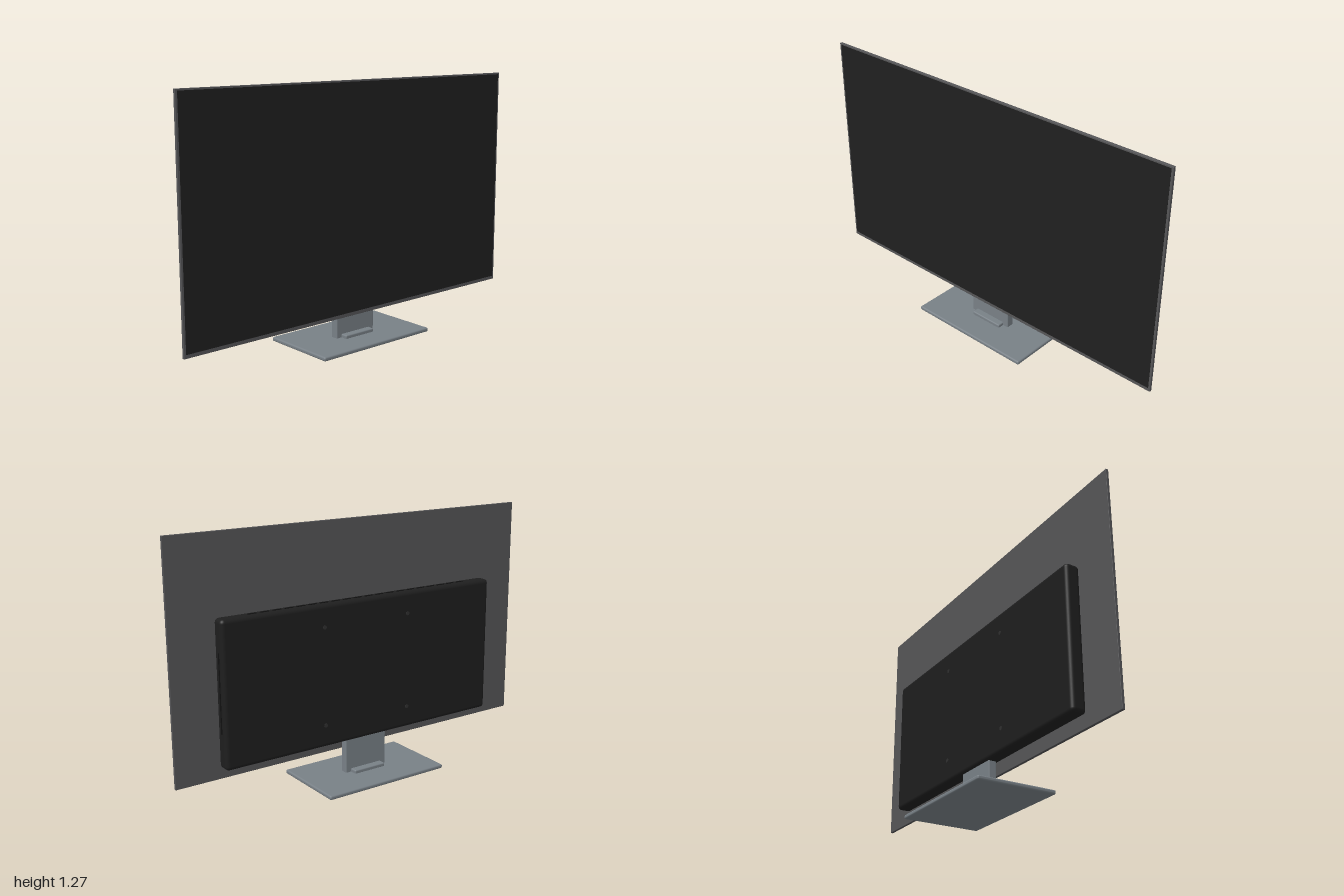
import * as THREE from 'three';
import { RoundedBoxGeometry } from 'three/addons/geometries/RoundedBoxGeometry.js';

const material = (name, color) => {
  const m = new THREE.MeshStandardMaterial({ color });
  m.name = name;
  return m;
};

export function createModel() {
  const frameGrey = material('frame grey', 0x555557);
  const screenBlack = material('screen black', 0x1f1f1f);
  const housingBlack = material('housing black', 0x1e1e1e);
  const ventBlack = material('vent black', 0x111111);
  const screwGrey = material('screw grey', 0x303030);
  const standGrey = material('stand grey', 0x788086);

  const model = new THREE.Group();
  model.name = 'monitor';

  const add = (name, geometry, mat, x, y, z, parent = model) => {
    const mesh = new THREE.Mesh(geometry, mat);
    mesh.name = name;
    mesh.position.set(x, y, z);
    parent.add(mesh);
    return mesh;
  };
  // box given by its min and max corners, rounded when a radius is set
  const block = (name, mat, [x0, y0, z0], [x1, y1, z1], radius = 0, parent = model) => {
    const size = [x1 - x0, y1 - y0, z1 - z0];
    const geometry = radius
      ? new RoundedBoxGeometry(...size, 4, radius)
      : new THREE.BoxGeometry(...size);
    return add(name, geometry, mat, (x0 + x1) / 2, (y0 + y1) / 2, (z0 + z1) / 2, parent);
  };

  // thin display panel with a narrow bezel and a slightly deeper chin
  block('panel', frameGrey, [-1, 0.132, 0.05], [1, 1.272, 0.064], 0.002);
  block('screen', screenBlack, [-0.99, 0.15, 0.062], [0.99, 1.264, 0.065]);

  // electronics housing on the back
  block('housing', housingBlack, [-0.78, 0.19, -0.023], [0.78, 0.894, 0.051], 0.02);

  // row of vents along the housing top
  const vents = new THREE.Group();
  vents.name = 'vents';
  model.add(vents);
  for (let i = 0; i < 20; i++) {
    const x = (i - 9.5) * 0.064;
    block('vent', ventBlack, [x - 0.022, 0.89, 0.009], [x + 0.022, 0.897, 0.017], 0, vents);
  }

  // port strip on the left side
  block('portStrip', ventBlack, [0.774, 0.36, 0.007], [0.781, 0.74, 0.017]);

  // four mounting screws
  const screwGeometry = new THREE.CylinderGeometry(0.01, 0.01, 0.006, 16).rotateX(Math.PI / 2);
  for (const x of [-0.245, 0.245]) {
    for (const y of [0.3, 0.785]) add('mountScrew', screwGeometry, screwGrey, x, y, -0.0225);
  }

  // stand: neck, collar and base plate
  block('neck', standGrey, [-0.12, 0.015, -0.01], [0.12, 0.3, 0.03], 0.005);
  block('collar', standGrey, [-0.09, 0.016, -0.047], [0.09, 0.038, 0.065], 0.006);
  block('base', standGrey, [-0.34, 0, -0.202], [0.34, 0.021, 0.202], 0.008);

  return model;
}
